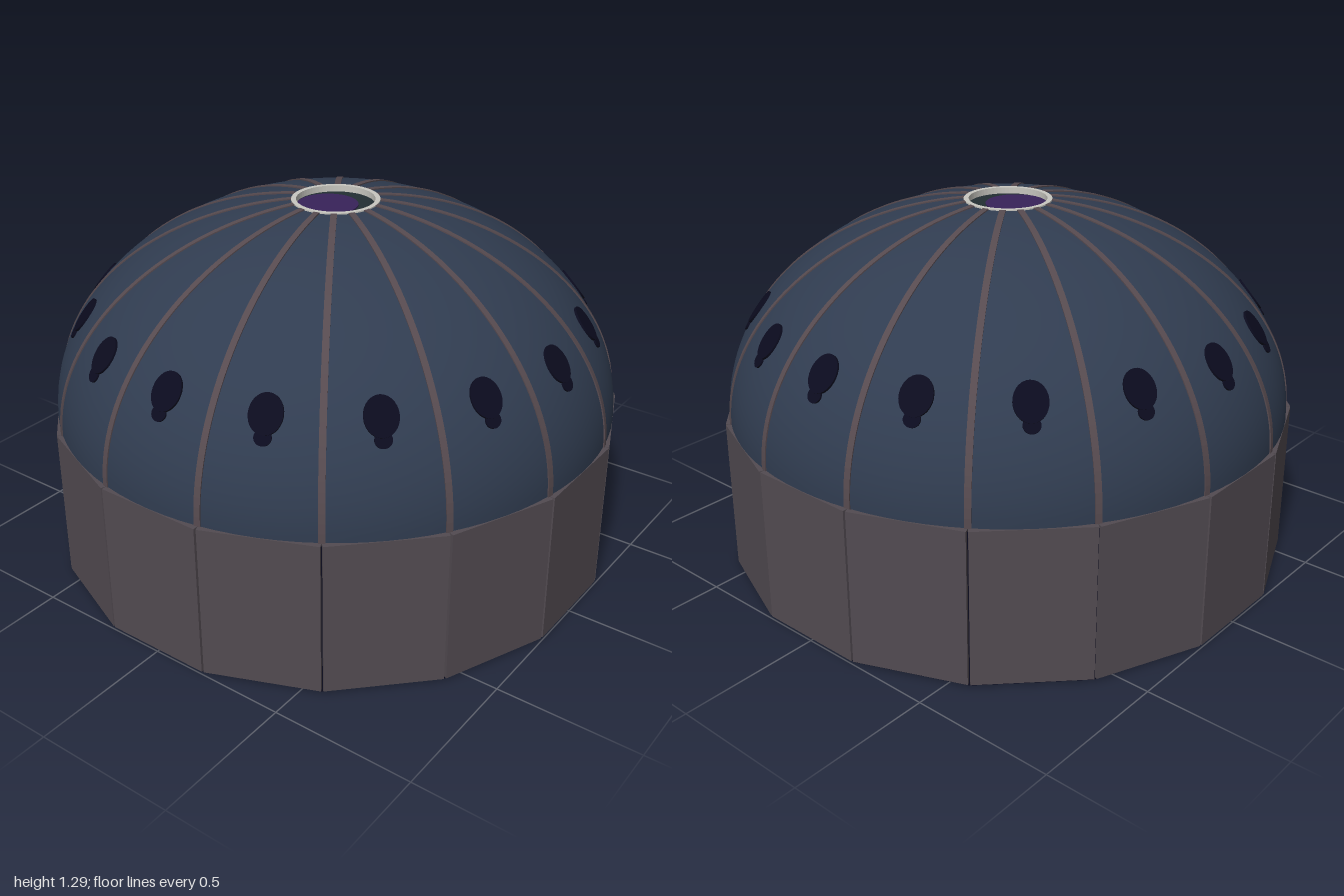
import * as THREE from 'three';

const SIDES = 16, STEP = (Math.PI * 2) / SIDES;
const BASE_Y = 0.56, RISE = 0.738, RING_R = 0.15;
const T_TOP = Math.acos(RING_R);

const mat = (name, color) => {
  const m = new THREE.MeshStandardMaterial({ color });
  m.name = name;
  return m;
};

// point on the elliptical dome profile, pushed outward by d along its normal
function domePoint(t, d = 0) {
  const n = new THREE.Vector2(Math.cos(t), Math.sin(t) / RISE).normalize();
  return new THREE.Vector2(Math.cos(t) + n.x * d, BASE_Y + RISE * Math.sin(t) + n.y * d);
}

function domeArc(d, count) {
  return Array.from({ length: count + 1 }, (_, i) => domePoint((T_TOP * i) / count, d));
}

export function createModel() {
  const model = new THREE.Group();
  const slate = mat('slateBlue', 0x303c50);
  const stone = mat('stoneGrey', 0x524b51);
  const ribTone = mat('ribBrown', 0x564a4f);
  const dark = mat('darkNavy', 0x0b0b1e);
  const pale = mat('paleRing', 0xc8c7c0);
  const violet = mat('violetGlass', 0x38225a);
  const teal = mat('darkTeal', 0x232e33);

  const add = (parent, name, geo, material, x = 0, y = 0, z = 0) => {
    const mesh = new THREE.Mesh(geo, material);
    mesh.name = name;
    mesh.position.set(x, y, z);
    parent.add(mesh);
    return mesh;
  };

  // dark core behind the wall panels, seen in the seams and underneath
  const coreR = 0.988 / Math.cos(STEP / 2);
  const core = new THREE.CylinderGeometry(coreR, coreR, 0.55, SIDES).toNonIndexed();
  core.computeVertexNormals();
  core.rotateY(STEP / 2);
  add(model, 'drumCore', core, dark, 0, 0.275, 0);

  // dome shell
  const dome = new THREE.LatheGeometry(domeArc(0, 40), 96);
  add(model, 'dome', dome, slate);

  // rib profile: a thin band following the dome
  const ribShape = new THREE.Shape([...domeArc(0.004, 32), ...domeArc(-0.01, 32).reverse()]);
  const ribGeo = new THREE.ExtrudeGeometry(ribShape, { depth: 0.022, bevelEnabled: false });
  ribGeo.translate(0, 0, -0.011);
  ribGeo.rotateY(-Math.PI / 2);

  const panelGeo = new THREE.BoxGeometry(0.39, 0.548, 0.02);
  const discGeo = new THREE.CylinderGeometry(1, 1, 0.008, 28);

  // oval plate lying on the dome at height y
  const plate = (parent, name, y, halfWidth, halfLength) => {
    const t = Math.asin((y - BASE_Y) / RISE);
    const p = domePoint(t, 0.001);
    const mesh = add(parent, name, discGeo, dark, 0, p.y, p.x);
    mesh.rotation.x = Math.atan2(Math.cos(t), Math.sin(t) / RISE);
    mesh.scale.set(halfWidth, 1, halfLength);
  };

  for (let i = 0; i < SIDES; i++) {
    // one bay: wall panel and window
    const bay = new THREE.Group();
    bay.name = 'bay';
    bay.rotation.y = i * STEP;
    model.add(bay);
    add(bay, 'wallPanel', panelGeo, stone, 0, 0.284, 0.99);
    plate(bay, 'window', 0.917, 0.055, 0.066);
    plate(bay, 'windowSill', 0.858, 0.028, 0.026);

    // rib over the corner between bays
    const rib = add(model, 'rib', ribGeo, ribTone);
    rib.rotation.y = (i + 0.5) * STEP;
  }

  // crown ring around the oculus
  const ring = new THREE.LatheGeometry(
    [[0.136, 1.262], [0.153, 1.262], [0.153, 1.294], [0.136, 1.294], [0.136, 1.262]]
      .map(([x, y]) => new THREE.Vector2(x, y)), 64).toNonIndexed();
  ring.computeVertexNormals();
  add(model, 'crownRing', ring, pale);

  // recessed oculus with its glass
  add(model, 'oculusFloor', new THREE.CylinderGeometry(0.14, 0.14, 0.008, 48), teal, 0, 1.268, 0);
  add(model, 'oculusGlass', new THREE.CylinderGeometry(0.106, 0.106, 0.006, 40), violet, -0.02, 1.273, -0.02);

  return model;
}
